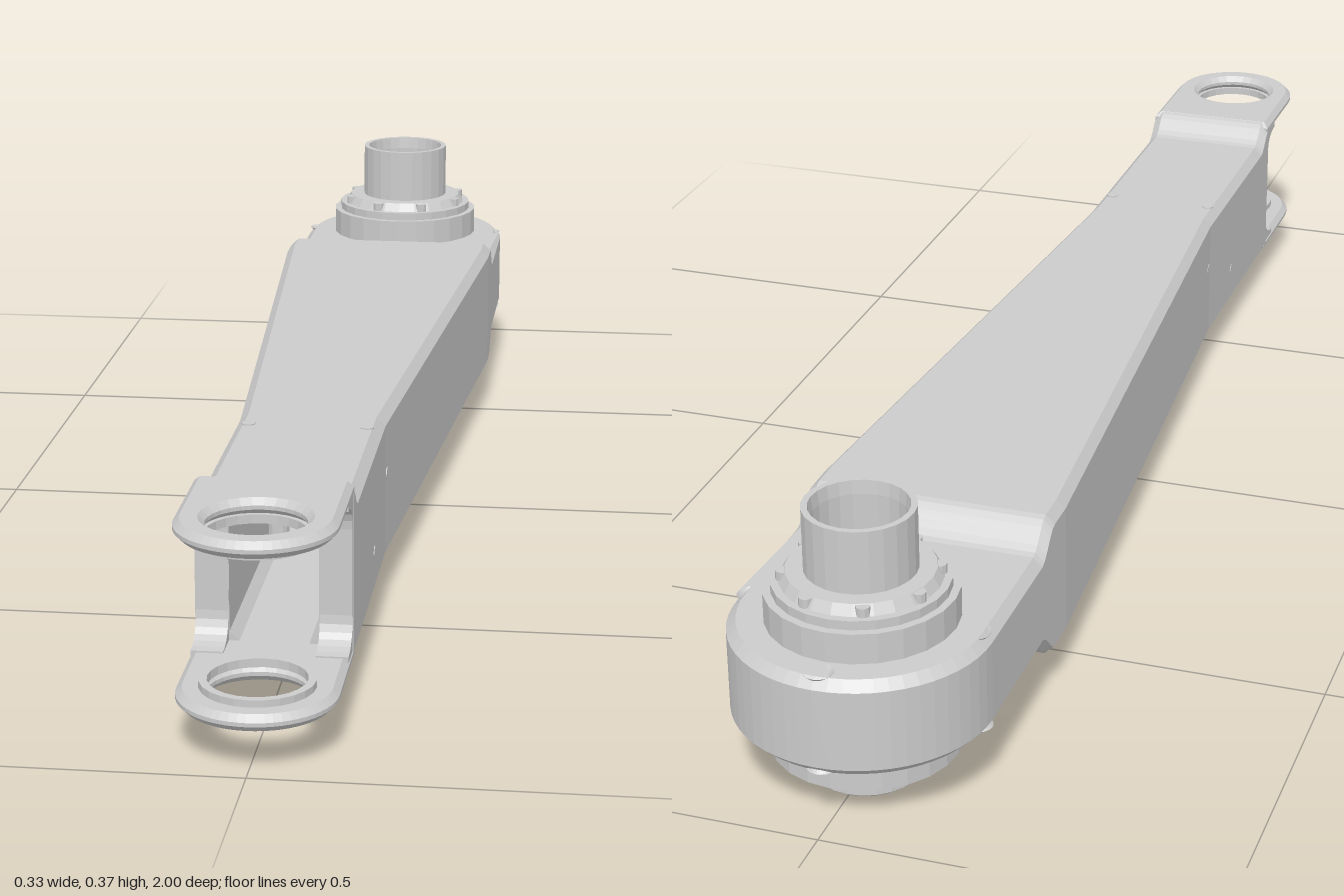
import * as THREE from 'three';

const mat = new THREE.MeshStandardMaterial({ color: 0xcccccc, flatShading: true, side: THREE.DoubleSide });
const HUB_Z = -0.835, HUB_R = 0.165, EYE_Z = 0.903, EYE_R = 0.097;

function add(group, name, geometry, x = 0, y = 0, z = 0) {
  const mesh = new THREE.Mesh(geometry, mat);
  mesh.name = name;
  mesh.position.set(x, y, z);
  group.add(mesh);
  return mesh;
}

// Plan outline with one round end; shape y is -z
function roundEnd(straightZ, centreZ, r, holes) {
  const s = new THREE.Shape();
  const front = centreZ > straightZ;
  s.moveTo(front ? r : -r, -straightZ);
  s.lineTo(front ? r : -r, -centreZ);
  s.absarc(0, -centreZ, r, front ? 0 : Math.PI, front ? -Math.PI : 0, true);
  s.lineTo(front ? -r : r, -straightZ);
  s.closePath();
  for (const [x, z, hr] of holes) {
    const h = new THREE.Path();
    h.absarc(x, -z, hr, 0, Math.PI * 2, false);
    s.holes.push(h);
  }
  return s;
}

// Horizontal plate with chamfered edges between two heights
function slab(shape, y0, y1, bevel) {
  const g = new THREE.ExtrudeGeometry(shape, {
    depth: y1 - y0 - 2 * bevel, bevelThickness: bevel, bevelSize: bevel,
    bevelOffset: -bevel, bevelSegments: 1, curveSegments: 14,
  });
  return g.rotateX(-Math.PI / 2).translate(0, y0 + bevel, 0);
}

function lathe(points, segments = 24) {
  return new THREE.LatheGeometry(points.map(([r, y]) => new THREE.Vector2(r, y)), segments);
}

// Chamfered rectangle, counterclockwise seen from the front
function section(w, y0, y1, c, z) {
  return [[-w + c, y0], [w - c, y0], [w, y0 + c], [w, y1 - c],
    [w - c, y1], [-w + c, y1], [-w, y1 - c], [-w, y0 + c]].map(([x, y]) => [x, y, z]);
}

function loft(rings) {
  const pos = [], idx = [], n = rings[0].length;
  rings.forEach(r => r.forEach(p => pos.push(...p)));
  for (let i = 0; i < rings.length - 1; i++) {
    for (let j = 0; j < n; j++) {
      const a = i * n + j, b = i * n + (j + 1) % n;
      idx.push(a, b, b + n, a, b + n, a + n);
    }
  }
  const last = (rings.length - 1) * n;
  for (let j = 1; j < n - 1; j++) idx.push(last, last + j, last + j + 1);
  const g = new THREE.BufferGeometry();
  g.setAttribute('position', new THREE.Float32BufferAttribute(pos, 3));
  g.setIndex(idx);
  const flat = g.toNonIndexed();
  flat.computeVertexNormals();
  return flat;
}

const halfWidth = z => THREE.MathUtils.lerp(HUB_R, EYE_R, THREE.MathUtils.clamp((z + 0.55) / 0.95, 0, 1));

function armBody() {
  const rings = [];
  // Joggled rear step
  for (let i = 0; i <= 6; i++) {
    const t = i / 6, s = THREE.MathUtils.smoothstep(t, 0, 1);
    rings.push(section(HUB_R, 0.09 - 0.035 * s, 0.22 + 0.035 * s, 0.012, -0.645 + 0.05 * t));
  }
  for (const z of [-0.55, 0.4]) rings.push(section(halfWidth(z), 0.055, 0.255, 0.012, z));
  // Upward step towards the fork
  for (let i = 0; i <= 6; i++) {
    const t = i / 6;
    rings.push(section(EYE_R, 0.055, 0.255 + 0.03 * THREE.MathUtils.smoothstep(t, 0, 1), 0.012, 0.72 + 0.046 * t));
  }
  // Cavity, running back from the fork
  for (const [z, y1] of [[0.766, 0.262], [0.72, 0.245], [0.4, 0.24], [-0.55, 0.24], [-0.59, 0.225]]) {
    rings.push(section(halfWidth(z) - 0.042, 0.076, y1, 0.012, z));
  }
  return loft(rings);
}

// Cheek that rounds the inner corners of the fork slot
function cheek() {
  const s = new THREE.Shape();
  s.moveTo(0.755, 0.07);
  s.lineTo(0.81, 0.07);
  s.lineTo(0.81, 0.078);
  s.quadraticCurveTo(0.768, 0.078, 0.767, 0.115);
  s.lineTo(0.767, 0.225);
  s.quadraticCurveTo(0.768, 0.262, 0.81, 0.262);
  s.lineTo(0.81, 0.27);
  s.lineTo(0.755, 0.27);
  s.closePath();
  const g = new THREE.ExtrudeGeometry(s, { depth: 0.04, bevelEnabled: false, curveSegments: 6 });
  return g.rotateY(-Math.PI / 2).translate(0.02, 0, 0);
}

export function createModel() {
  const model = new THREE.Group();
  model.name = 'linkArm';

  add(model, 'armBody', armBody());

  // Rear bearing housing with four small through holes
  const pins = [[0.145, HUB_Z], [-0.145, HUB_Z], [0, HUB_Z - 0.142], [0, HUB_Z + 0.142]];
  const hubShape = roundEnd(-0.632, HUB_Z, HUB_R, [[0, HUB_Z, 0.075], ...pins.map(([x, z]) => [x, z, 0.007])]);
  add(model, 'rearHousing', slab(hubShape, 0.09, 0.22, 0.012));

  // Bearing sleeve and stepped flanges
  const hub = new THREE.Group();
  hub.name = 'rearBearing';
  hub.position.z = HUB_Z;
  model.add(hub);
  add(hub, 'sleeve', lathe([[0.06, 0.005], [0.065, 0], [0.07, 0.004], [0.07, 0.368], [0.062, 0.368],
    [0.06, 0.35], [0.06, 0.005]]));
  add(hub, 'upperFlange', lathe([[0.07, 0.215], [0.12, 0.215], [0.12, 0.26], [0.11, 0.26], [0.11, 0.272],
    [0.1, 0.272], [0.092, 0.285], [0.07, 0.285]]));
  add(hub, 'lowerFlange', lathe([[0.07, 0.035], [0.078, 0.044], [0.12, 0.044], [0.12, 0.07],
    [0.112, 0.07], [0.112, 0.1], [0.07, 0.1]]));
  for (let i = 0; i < 8; i++) {
    const a = (i + 0.5) * Math.PI / 4;
    add(hub, 'flangeBolt', new THREE.CylinderGeometry(0.009, 0.009, 0.02, 10),
      0.094 * Math.cos(a), 0.274, 0.094 * Math.sin(a));
  }

  // Front fork: two eyes with inner ring bosses
  const eye = roundEnd(0.757, EYE_Z, EYE_R, [[0, EYE_Z, 0.06]]);
  add(model, 'upperForkEye', slab(eye, 0.264, 0.285, 0.008));
  add(model, 'lowerForkEye', slab(eye, 0.055, 0.076, 0.008));
  for (const [name, y] of [['upperBoss', 0.255], ['lowerBoss', 0.074]]) {
    add(model, name, lathe([[0.06, 0], [0.07, 0], [0.07, 0.011], [0.06, 0.011], [0.06, 0]]), 0, y, EYE_Z);
  }
  for (const side of [-1, 1]) add(model, 'forkCheek', cheek(), side * 0.076, 0, 0);

  // Posts inside the hollow arm
  add(model, 'centrePost', new THREE.CylinderGeometry(0.023, 0.023, 0.166, 16), 0, 0.159, 0.4);
  for (const side of [-1, 1]) {
    add(model, 'sidePost', new THREE.CylinderGeometry(0.014, 0.014, 0.135, 12), side * 0.039, 0.1425, 0.45);

    // Fasteners in the side walls, top and underside
    for (const [z, y] of [[0.535, 0.115], [0.39, 0.175]]) {
      add(model, 'sidePin', new THREE.CylinderGeometry(0.008, 0.008, 0.01, 10),
        side * (halfWidth(z) - 0.004), y, z).rotation.z = Math.PI / 2;
    }
    add(model, 'topPin', new THREE.CylinderGeometry(0.009, 0.009, 0.01, 10), side * 0.078, 0.2515, 0.45);
    for (const z of [-0.56, -0.3, -0.05, 0.2, 0.45, 0.68]) {
      add(model, 'undersidePin', new THREE.CylinderGeometry(0.011, 0.011, 0.01, 10),
        side * (halfWidth(z) - 0.02), 0.0585, z);
    }
  }
  return model;
}
